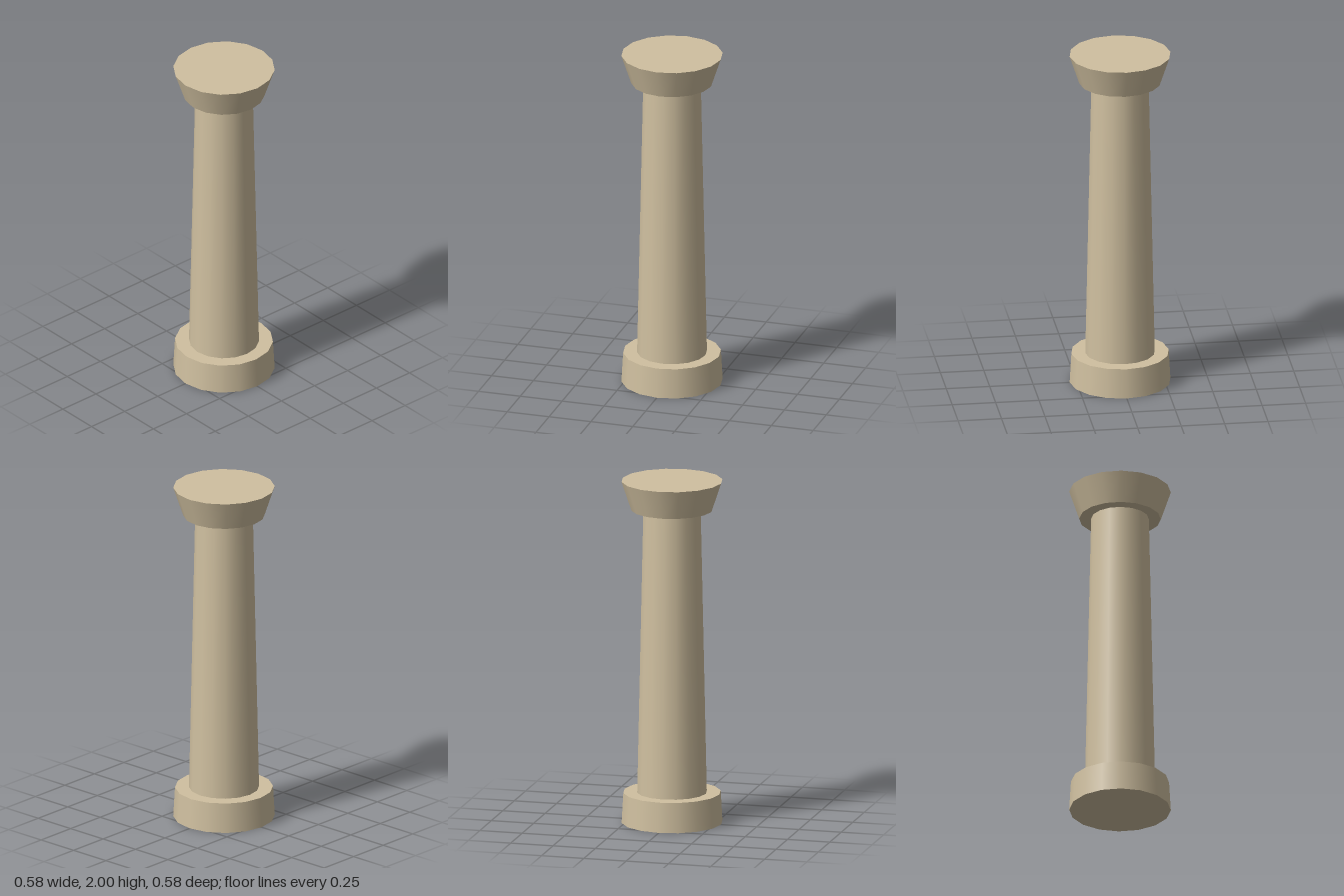
import * as THREE from 'three';

const SIDES = 16;

export function createModel() {
  const column = new THREE.Group();
  column.name = 'column';

  const stone = new THREE.MeshStandardMaterial({ color: 0xd0c0a0 });
  stone.name = 'sandstone';

  // Adds a tapered drum standing between two heights
  const addDrum = (name, bottomRadius, topRadius, y0, y1) => {
    const geometry = new THREE.CylinderGeometry(topRadius, bottomRadius, y1 - y0, SIDES);
    const drum = new THREE.Mesh(geometry, stone);
    drum.name = name;
    drum.position.y = (y0 + y1) / 2;
    column.add(drum);
  };

  addDrum('base', 0.29, 0.28, 0, 0.175);
  addDrum('shaft', 0.2, 0.165, 0.175, 1.83);
  addDrum('capital', 0.233, 0.29, 1.83, 2);

  return column;
}
